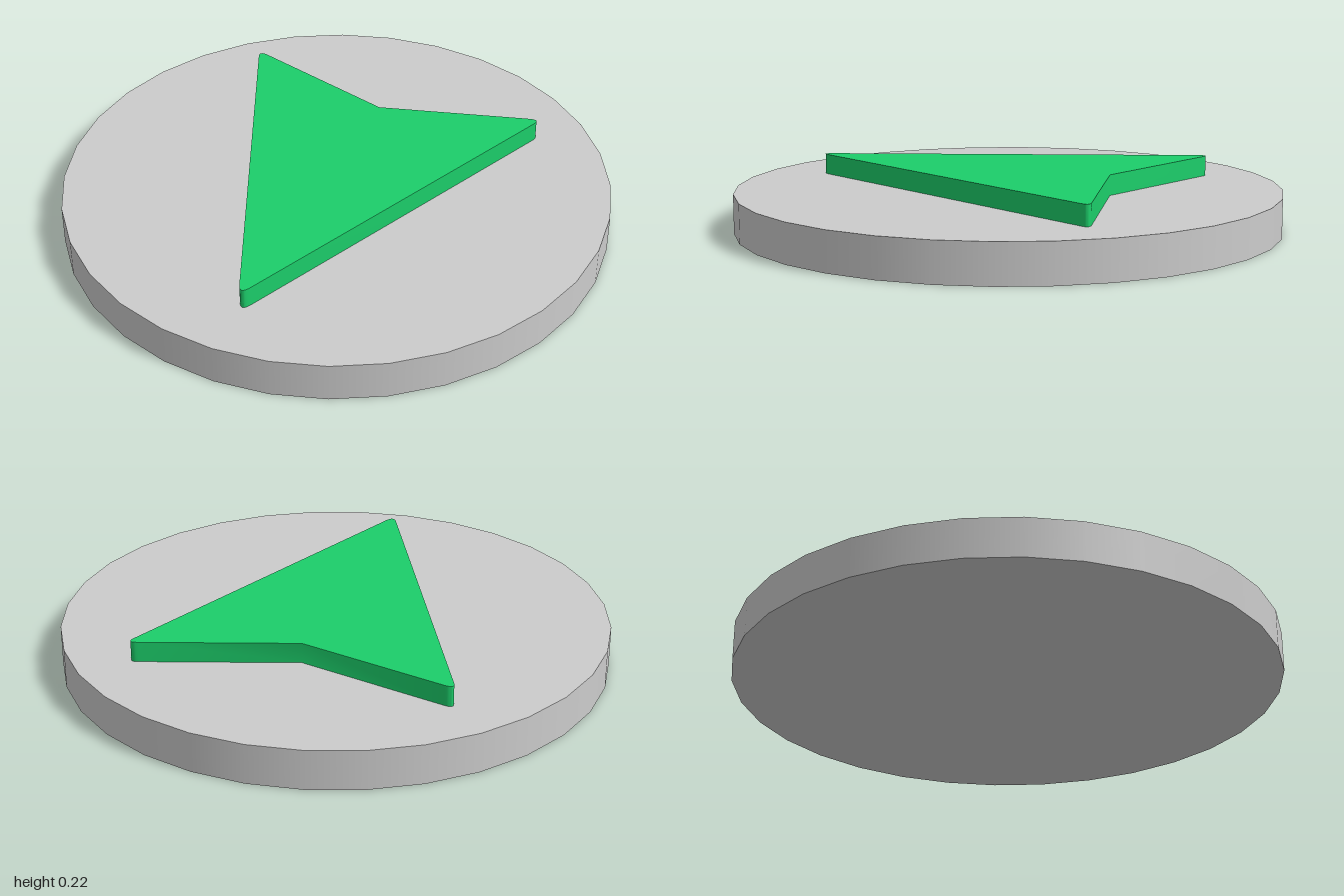
import * as THREE from 'three';
import { toCreasedNormals } from 'three/addons/utils/BufferGeometryUtils.js';

const BASE_HEIGHT = 0.145;
const ARROW_HEIGHT = 0.075;

// Arrowhead outline with rounded tips; shape y becomes model z
function arrowShape() {
  const s = new THREE.Shape();
  s.moveTo(0, -0.4);
  s.lineTo(0.545, -0.558);
  s.quadraticCurveTo(0.59, -0.571, 0.571, -0.53);
  s.lineTo(0.02, 0.753);
  s.quadraticCurveTo(0, 0.798, -0.02, 0.753);
  s.lineTo(-0.571, -0.53);
  s.quadraticCurveTo(-0.59, -0.571, -0.545, -0.558);
  s.closePath();
  return s;
}

export function createModel() {
  const model = new THREE.Group();
  model.name = 'directionMarker';

  // Round base disc
  const base = new THREE.Mesh(
    new THREE.CylinderGeometry(1, 1, BASE_HEIGHT, 32),
    new THREE.MeshStandardMaterial({ color: 0xcccccc })
  );
  base.name = 'baseDisc';
  base.position.y = BASE_HEIGHT / 2;
  model.add(base);

  // Raised arrowhead pointing to the front
  const geometry = new THREE.ExtrudeGeometry(arrowShape(), {
    depth: ARROW_HEIGHT, bevelEnabled: false, curveSegments: 8,
  });
  geometry.rotateX(Math.PI / 2);
  const arrow = new THREE.Mesh(
    toCreasedNormals(geometry, 0.7),
    new THREE.MeshStandardMaterial({ color: 0x1cce6a })
  );
  arrow.name = 'arrowhead';
  arrow.position.y = BASE_HEIGHT + ARROW_HEIGHT;
  model.add(arrow);

  return model;
}
